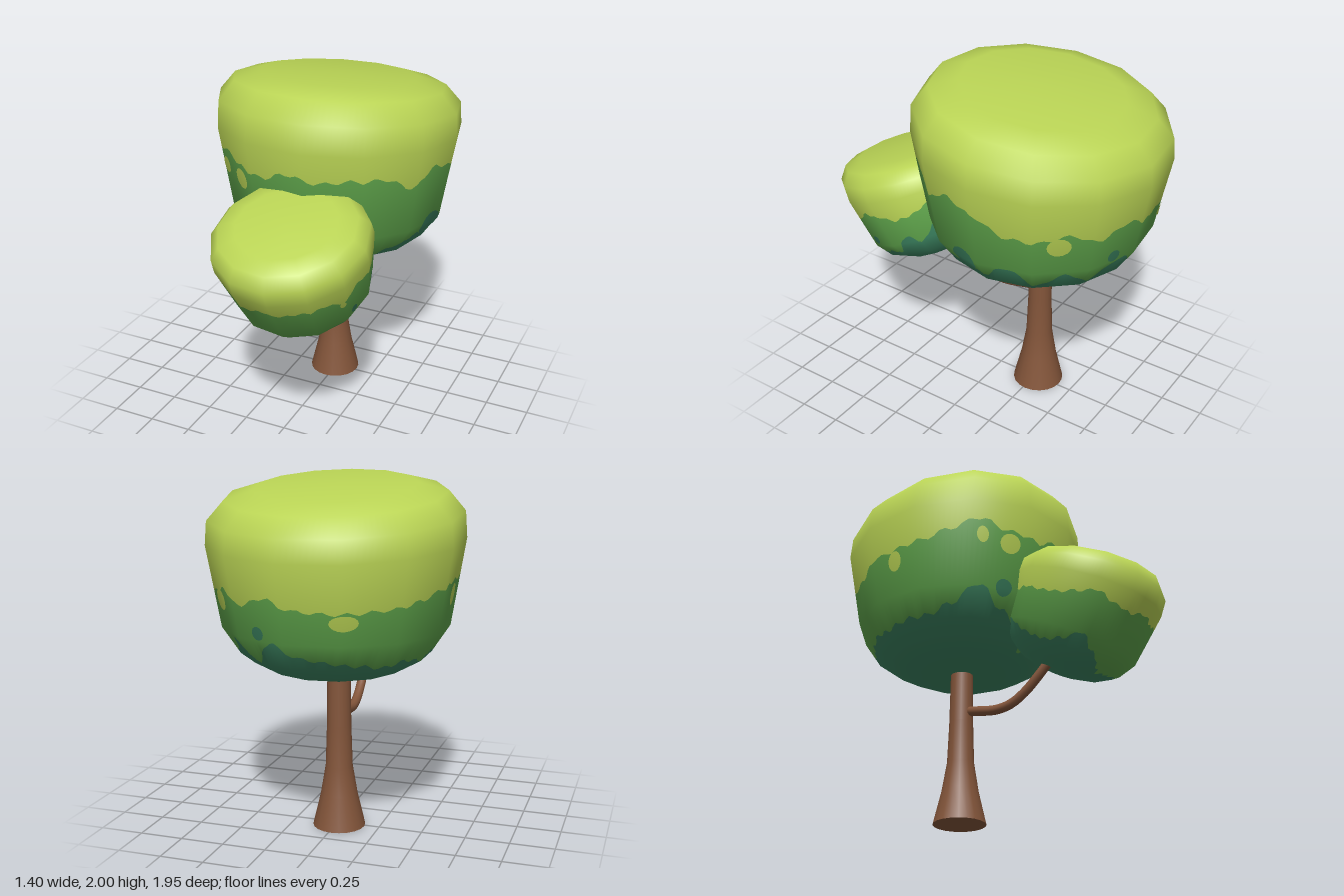
import * as THREE from 'three';

const SIDES = 13, STEPS = 10, COLS = SIDES * STEPS, TAU = Math.PI * 2;

const material = (name, color) => {
  const m = new THREE.MeshStandardMaterial({ color });
  m.name = name;
  return m;
};

// Canopy profile from bottom to top: radius, height, forward slant of that ring
const PROFILE = [
  [0, -0.004, 0], [0.21, 0, 0], [0.37, 0.04, 0], [0.53, 0.13, 0], [0.63, 0.28, 0],
  [0.71, 0.75, 0.07], [0.70, 0.89, 0.1], [0.61, 0.995, 0.123], [0.45, 1.04, 0.133], [0, 1.045, 0.133],
];
const LAST = PROFILE.length - 1;

// Smooth profile normals, averaged from neighbouring segments
const segmentNormal = (i) => {
  const a = PROFILE[i], b = PROFILE[i + 1];
  return new THREE.Vector2(b[1] - a[1], a[0] - b[0]).normalize();
};
const NORMALS = PROFILE.map((p, i) => {
  if (i === 0) return new THREE.Vector2(0, -1);
  if (i === LAST) return new THREE.Vector2(0, 1);
  return segmentNormal(i - 1).add(segmentNormal(i)).normalize();
});

// Point and normal on the thirteen-sided canopy at an angle and height
function canopyPoint(angle, h, lift = 0) {
  let i = 0;
  while (i < LAST - 1 && h > PROFILE[i + 1][1]) i++;
  const t = THREE.MathUtils.clamp((h - PROFILE[i][1]) / (PROFILE[i + 1][1] - PROFILE[i][1]), 0, 1);
  const [r, y, slant] = PROFILE[i].map((v, k) => THREE.MathUtils.lerp(v, PROFILE[i + 1][k], t));
  const side = angle / TAU * SIDES, s = Math.floor(side + 1e-6), f = side - s;
  const a0 = s / SIDES * TAU, a1 = (s + 1) / SIDES * TAU;
  const cx = THREE.MathUtils.lerp(Math.cos(a0), Math.cos(a1), f);
  const cz = THREE.MathUtils.lerp(Math.sin(a0), Math.sin(a1), f);
  const n2 = NORMALS[i].clone().lerp(NORMALS[i + 1], t);
  const normal = new THREE.Vector3(cx * n2.x, n2.y, cz * n2.x - slant * n2.y).normalize();
  const point = new THREE.Vector3(r * cx, y + slant * r * cz, r * cz).addScaledVector(normal, lift);
  return { point, normal };
}

function toGeometry(samples, index) {
  const g = new THREE.BufferGeometry();
  g.setAttribute('position', new THREE.Float32BufferAttribute(samples.flatMap((s) => s.point.toArray()), 3));
  g.setAttribute('normal', new THREE.Float32BufferAttribute(samples.flatMap((s) => s.normal.toArray()), 3));
  g.setIndex(index);
  return g;
}

// One colour band of the canopy between two wavy edges
function bandGeometry(low, high) {
  const samples = [], index = [], rows = PROFILE.length + 2;
  const heights = [];
  for (let c = 0; c <= COLS; c++) {
    const a = c / COLS * TAU, lo = low(a), hi = high(a);
    const hs = [lo, ...PROFILE.map((p) => THREE.MathUtils.clamp(p[1], lo, hi)), hi];
    heights.push(hs);
    hs.forEach((h) => samples.push(canopyPoint(a, h)));
  }
  for (let c = 0; c < COLS; c++) {
    for (let j = 0; j < rows - 1; j++) {
      const p = c * rows + j, q = p + rows;
      if (heights[c][j + 1] > heights[c][j]) index.push(p, p + 1, q);
      if (heights[c + 1][j + 1] > heights[c + 1][j]) index.push(p + 1, q + 1, q);
    }
  }
  return toGeometry(samples, index);
}

// Thin round leaf spot laid on the canopy
function spotGeometry(degrees, h, width, height) {
  const a = (degrees + 360) % 360 * Math.PI / 180, n = 16, index = [];
  const samples = [canopyPoint(a, h, 0.008)];
  for (let i = 0; i < n; i++) {
    const p = i / n * TAU;
    samples.push(canopyPoint(a + width * Math.cos(p) / 0.67, h + height * Math.sin(p), 0.008));
    index.push(0, 1 + (i + 1) % n, 1 + i);
  }
  return toGeometry(samples, index);
}

// Edge heights every 15 degrees, eased between, with a fine leafy ripple
const UPPER = [60, 63, 55, 62, 62, 60, 63, 58, 60, 65, 60, 55, 55, 54, 50, 48, 47, 47, 48, 54, 48, 54, 50, 50];
const LOWER = [18, 20, 18, 12, 10, 8, 6, 10, 18, 29, 20, 15, 16, 14, 16, 14, 16, 18, 20, 28, 15, 25, 15, 29];
function edge(table, backRise) {
  return (a) => {
    const x = a / TAU * table.length, i = Math.floor(x), f = x - i;
    const s = f * f * (3 - 2 * f), n = table.length;
    const h = THREE.MathUtils.lerp(table[i % n], table[(i + 1) % n], s) / 100;
    return h + 0.012 * Math.sin(31 * a) + backRise * Math.max(0, -Math.sin(a));
  };
}

function makeCanopy(name, mats, backRise, spots) {
  const group = new THREE.Group();
  group.name = name;
  const add = (part, geometry, mat) => {
    const mesh = new THREE.Mesh(geometry, mat);
    mesh.name = part;
    group.add(mesh);
  };
  const upper = edge(UPPER, backRise * 0.5), lower = edge(LOWER, backRise);
  add('topLeaves', bandGeometry(upper, () => PROFILE[LAST][1]), mats.light);
  add('middleLeaves', bandGeometry(lower, upper), mats.mid);
  add('bottomLeaves', bandGeometry(() => PROFILE[0][1], lower), mats.dark);
  spots.forEach(([tone, ...s]) => add('leafSpot', spotGeometry(...s), mats[tone]));
  return group;
}

export function createModel() {
  const model = new THREE.Group();
  model.name = 'tree';
  const mats = {
    light: material('lightLeaf', 0xbad455),
    mid: material('middleLeaf', 0x60a64c),
    dark: material('darkLeaf', 0x3c8461),
  };
  const bark = material('bark', 0x83553a);

  // Flared trunk
  const trunkProfile = [[0.15, 0], [0.105, 0.19], [0.077, 0.36], [0.069, 0.6], [0.065, 0.95]];
  const trunk = new THREE.Mesh(
    new THREE.LatheGeometry(trunkProfile.map((p) => new THREE.Vector2(...p)), 20), bark);
  trunk.name = 'trunk';
  trunk.position.set(-0.015, 0, -0.265);
  const base = new THREE.Mesh(new THREE.CircleGeometry(0.15, 20), bark);
  base.name = 'trunkBase';
  base.rotation.x = Math.PI / 2;
  trunk.add(base);
  model.add(trunk);

  // Drooping branch that carries the small canopy
  const path = new THREE.CatmullRomCurve3([
    [-0.015, 0.67, -0.26], [-0.015, 0.65, -0.15], [-0.01, 0.63, -0.02], [-0.005, 0.645, 0.08],
    [0, 0.695, 0.17], [0.005, 0.765, 0.25], [0.015, 0.86, 0.34],
  ].map((p) => new THREE.Vector3(...p)));
  const branch = new THREE.Mesh(new THREE.TubeGeometry(path, 20, 0.028, 10), bark);
  branch.name = 'branch';
  model.add(branch);

  // Large canopy on the trunk: spots are tone, angle, height, half width, half height
  const large = makeCanopy('largeCanopy', mats, 0, [
    ['light', 120, 0.53, 0.06, 0.055], ['light', 134, 0.56, 0.035, 0.045],
    ['light', -40, 0.47, 0.065, 0.06], ['light', -112, 0.42, 0.08, 0.045], ['light', 180, 0.48, 0.045, 0.06],
    ['dark', 9, 0.27, 0.09, 0.07], ['dark', 122, 0.29, 0.05, 0.045], ['dark', -69, 0.33, 0.04, 0.04],
  ]);
  large.position.set(0, 0.9, -0.265);
  model.add(large);

  // Small leaning canopy on the branch
  const small = makeCanopy('smallCanopy', mats, 0.22, [
    ['light', 31, 0.53, 0.03, 0.035], ['dark', 20, 0.35, 0.04, 0.04],
  ]);
  small.position.set(0.095, 0.81, 0.345);
  small.rotation.x = THREE.MathUtils.degToRad(25);
  small.scale.setScalar(0.615);
  model.add(small);

  return model;
}
